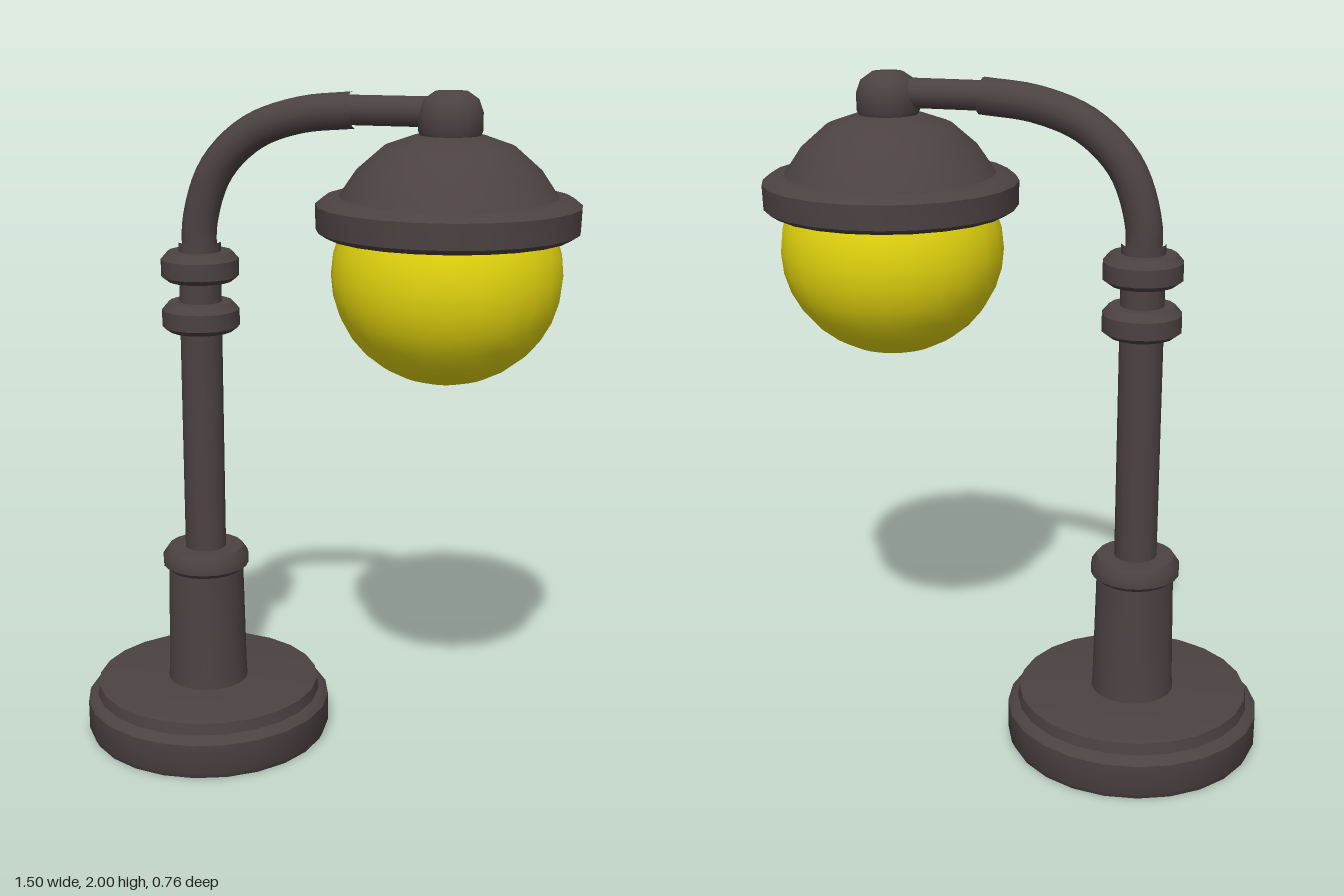
import * as THREE from 'three';
import { toCreasedNormals } from 'three/addons/utils/BufferGeometryUtils.js';

const POLE_X = -0.37, LAMP_X = 0.375;

export function createModel() {
  const iron = new THREE.MeshStandardMaterial({ color: 0x4c4242 });
  iron.name = 'dark iron';
  const glass = new THREE.MeshStandardMaterial({ color: 0xe0d20e });
  glass.name = 'yellow glass';

  const model = new THREE.Group();
  model.name = 'streetLamp';

  const add = (name, geometry, material, x = 0) => {
    const mesh = new THREE.Mesh(geometry, material);
    mesh.name = name;
    mesh.position.x = x;
    model.add(mesh);
  };
  // Turned part: profile of [radius, height] from bottom to top
  const turned = (name, x, profile, segments = 20) => {
    const points = profile.map(([r, y]) => new THREE.Vector2(r, y));
    add(name, toCreasedNormals(new THREE.LatheGeometry(points, segments), 0.7), iron, x);
  };

  // Foot and post
  turned('base', POLE_X, [[0, 0], [0.37, 0], [0.38, 0.02], [0.38, 0.11], [0.365, 0.125],
    [0.35, 0.13], [0.345, 0.165], [0.32, 0.17], [0, 0.17]], 24);
  turned('sleeve', POLE_X, [[0.125, 0.16], [0.122, 0.2], [0.115, 0.54]]);
  turned('sleeveCollar', POLE_X, [[0, 0.535], [0.115, 0.535], [0.132, 0.55], [0.132, 0.58],
    [0.115, 0.605], [0, 0.605]]);
  turned('post', POLE_X, [[0.063, 0.6], [0.063, 1.55]], 14);

  // Two collars under the arm
  for (const [name, y] of [['lowerCollar', 1.285], ['upperCollar', 1.435]]) {
    turned(name, POLE_X, [[0, y], [0.095, y], [0.115, y + 0.015], [0.115, y + 0.065],
      [0.095, y + 0.088], [0, y + 0.088]], 16);
  }

  // Curved arm and its slimmer end
  const bend = new THREE.CatmullRomCurve3([
    [-0.37, 1.5], [-0.367, 1.61], [-0.315, 1.76], [-0.205, 1.868], [-0.06, 1.922], [0.1, 1.94],
  ].map(([x, y]) => new THREE.Vector3(x, y, 0)));
  add('arm', new THREE.TubeGeometry(bend, 24, 0.052, 14), iron);
  const end = new THREE.CylinderGeometry(0.042, 0.042, 0.32, 14);
  end.rotateZ(Math.PI / 2).translate(0.22, 1.94, 0);
  add('armEnd', end, iron);

  // Lamp head
  turned('knob', LAMP_X + 0.002, [[0, 1.87], [0.08, 1.87], [0.09, 1.89], [0.09, 1.94],
    [0.077, 1.975], [0.045, 1.997], [0, 2]], 16);
  turned('shade', LAMP_X, [[0, 1.605], [0.345, 1.605], [0.368, 1.62], [0.37, 1.69],
    [0.345, 1.71], [0.305, 1.712], [0.255, 1.785], [0.18, 1.85], [0.1, 1.878], [0, 1.885]], 24);
  const globe = new THREE.SphereGeometry(0.325, 24, 16);
  globe.scale(1, 0.95, 1).translate(0, 1.492, 0);
  add('globe', globe, glass, LAMP_X);

  return model;
}
